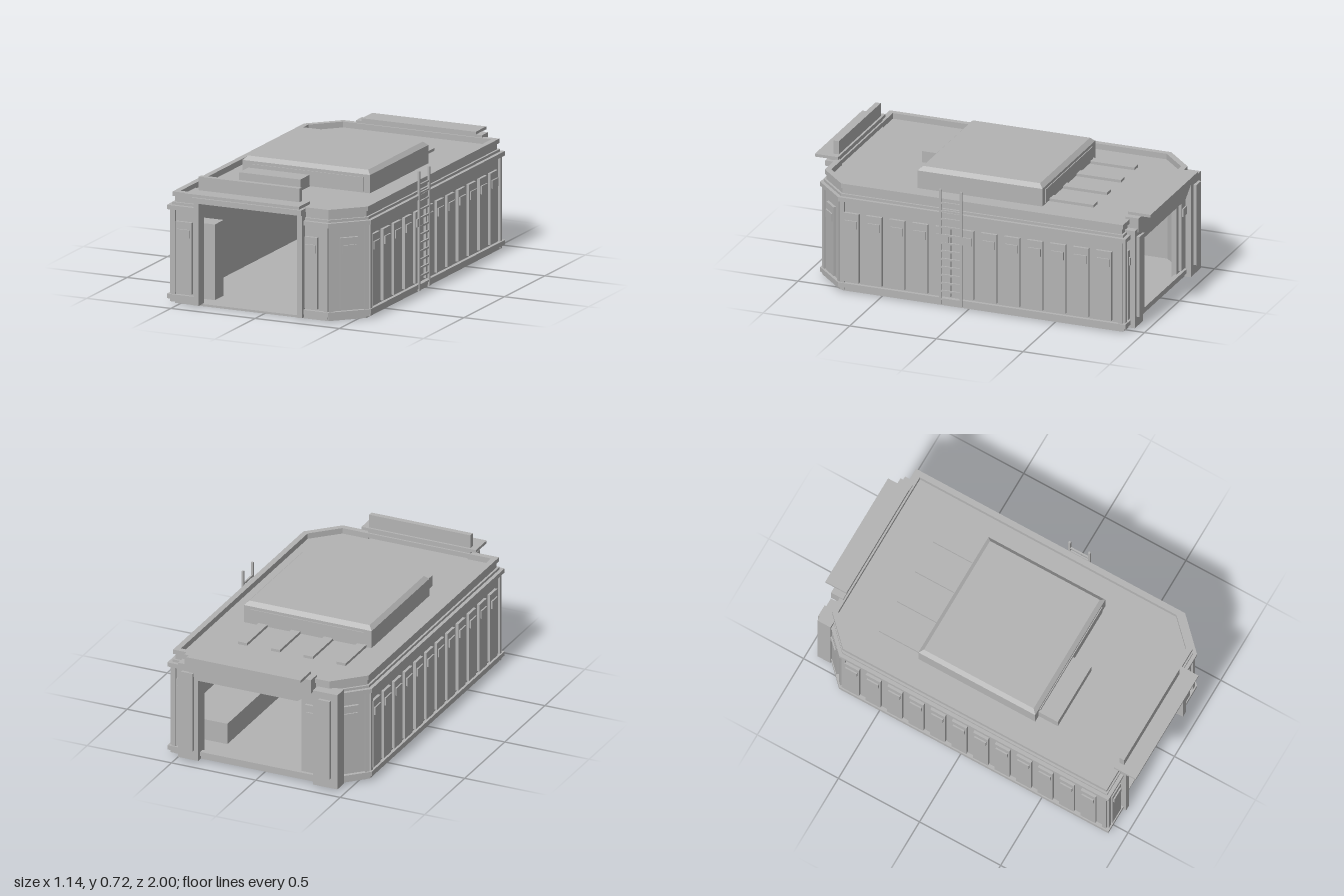
import * as THREE from 'three';

const grey = new THREE.MeshStandardMaterial({ color: 0xb3b3b3 });
grey.name = 'plain grey';

const X = 0.545, Z = 0.895, CUT = 0.16;   // footprint half sizes and corner cut
const DOOR = [-0.37, 0.215];              // front doorway in x

function add(parent, name, geometry) {
  const m = new THREE.Mesh(geometry, grey);
  m.name = name;
  parent.add(m);
  return m;
}

// Box given by its limits on each axis
function box(parent, name, x0, x1, y0, y1, z0, z1) {
  const m = add(parent, name, new THREE.BoxGeometry(x1 - x0, y1 - y0, z1 - z0));
  m.position.set((x0 + x1) / 2, (y0 + y1) / 2, (z0 + z1) / 2);
  return m;
}

// Footprint with two opposite cut corners, grown outward by d
function outline(d) {
  const x = X + d, z = Z + d, c = CUT + d * (2 - Math.SQRT2);
  return [[-x, z], [x - c, z], [x, z - c], [x, -z], [c - x, -z], [-x, c - z]];
}
const toShape = pts => new THREE.Shape(pts.map(([x, z]) => new THREE.Vector2(x, -z)));

function prism(parent, name, shape, y0, y1) {
  const g = new THREE.ExtrudeGeometry(shape, { depth: y1 - y0, bevelEnabled: false });
  g.rotateX(-Math.PI / 2);
  g.translate(0, y0, 0);
  return add(parent, name, g);
}

// Band around the footprint, optionally open at the front doorway
function band(parent, name, y0, y1, out, inn, open) {
  const a = outline(out), b = outline(inn);
  let shape;
  if (open) {
    const run = (p, d) => [[DOOR[1], Z + d], ...p.slice(1), p[0], [DOOR[0], Z + d]];
    shape = toShape([...run(a, out), ...run(b, inn).reverse()]);
  } else {
    shape = toShape(a);
    shape.holes.push(toShape(b));
  }
  return prism(parent, name, shape, y0, y1);
}

// Group whose local +z points out of a wall
function wallFrame(parent, x, z, turn) {
  const g = new THREE.Group();
  g.name = 'wallDetail';
  g.position.set(x, 0, z);
  g.rotation.y = turn;
  parent.add(g);
  return g;
}

function panel(frame, u, w) {
  box(frame, 'wallPanel', u - w / 2, u + w / 2, 0.065, 0.46, -0.005, 0.016);
  box(frame, 'panelPlate', u - w * 0.4, u + w * 0.4, 0.375, 0.42, 0.01, 0.024);
}

// Details shared by the front half and, turned round, the back half
function wallDetails(parent, isBack) {
  const half = new THREE.Group();
  half.name = isBack ? 'backAndRightWallDetails' : 'frontAndLeftWallDetails';
  half.rotation.y = isBack ? Math.PI : 0;
  parent.add(half);

  const front = wallFrame(half, 0, Z, 0);
  panel(front, -0.467, 0.095);
  panel(front, 0.287, 0.075);
  const cut = wallFrame(half, X - CUT / 2, Z - CUT / 2, Math.PI / 4);
  panel(cut, 0, 0.1);
  const side = wallFrame(half, X, 0, Math.PI / 2);
  for (let i = 0; i < 12; i++) panel(side, -0.67 + i * 0.1325, 0.09);

  // upright trims beside each corner
  const trim = (f, u) => box(f, 'cornerTrim', u - 0.012, u + 0.012, 0.015, 0.545, -0.005, 0.012);
  trim(front, -X + 0.012);
  trim(front, X - CUT - 0.012);
  trim(cut, -0.1);
  trim(cut, 0.1);
  trim(side, CUT - Z + 0.012);
  trim(side, Z - 0.012);
}

export function createModel() {
  const root = new THREE.Group();
  root.name = 'hangar';

  // Floor, walls and roof
  prism(root, 'floorSlab', toShape(outline(-0.012)), 0, 0.012);
  const shell = new THREE.Group();
  shell.name = 'walls';
  root.add(shell);
  const T = 0.03;
  box(shell, 'frontWall', -X, DOOR[0], 0.01, 0.56, Z - T, Z);
  box(shell, 'frontWall', DOOR[1], X - CUT, 0.01, 0.56, Z - T, Z);
  box(shell, 'backWall', CUT - X, -0.22, 0.01, 0.56, -Z, T - Z);
  box(shell, 'backWall', 0.37, X, 0.01, 0.56, -Z, T - Z);
  for (const s of [1, -1]) {
    const long = box(shell, 'sideWall', X - T, X, 0.01, 0.56, -Z, Z - CUT);
    long.position.x *= s;
    long.position.z *= s;
    const cut = wallFrame(shell, s * (X - CUT / 2), s * (Z - CUT / 2), s > 0 ? Math.PI / 4 : -Math.PI * 0.75);
    const w = CUT / Math.SQRT2;
    box(cut, 'cutCornerWall', -w, w, 0.01, 0.56, -T, 0);
  }
  prism(root, 'roofDeck', toShape(outline(-0.02)), 0.56, 0.585);

  // Bands and parapet
  band(root, 'baseSkirt', 0.012, 0.03, 0.008, -0.01, true);
  band(root, 'lowerBand', 0.03, 0.055, 0.02, -0.01, true);
  band(root, 'upperBand', 0.522, 0.546, 0.02, -0.01, true);
  band(root, 'parapet', 0.546, 0.592, -0.012, -0.035, true);
  band(root, 'parapetCap', 0.592, 0.617, -0.003, -0.035, false);
  box(root, 'backSill', -0.22, 0.37, 0.03, 0.055, -0.915, -0.885);

  wallDetails(root, false);
  wallDetails(root, true);

  // Front doorway: posts, lintel, canopy and blank sign board
  box(root, 'doorPost', -0.4, -0.37, 0.012, 0.58, 0.86, 0.93);
  box(root, 'doorPost', 0.215, 0.245, 0.012, 0.58, 0.86, 0.93);
  box(root, 'doorLintel', -0.405, 0.247, 0.58, 0.61, 0.87, 0.945);
  box(root, 'lintelTop', -0.385, 0.225, 0.61, 0.63, 0.87, 0.93);
  box(root, 'frontCanopy', -0.418, 0.26, 0.629, 0.645, 0.865, 1);
  box(root, 'signBoard', -0.38, 0.22, 0.645, 0.72, 0.877, 0.907);

  // Back doorway: pillars, hood with cut corners, canopy
  for (const [a, b] of [[-0.455, -0.31], [0.37, 0.49]]) {
    box(root, 'backPillar', a, b, 0.012, 0.57, -0.94, -0.86);
    const m = (a + b) / 2;
    box(root, 'pillarPanel', m - 0.035, m + 0.035, 0.07, 0.53, -0.957, -0.93);
  }
  const hood = new THREE.Shape([[-0.3, 0.63], [-0.3, 0.55], [-0.22, 0.49], [0.37, 0.49], [0.45, 0.55], [0.45, 0.63]]
    .map(p => new THREE.Vector2(...p)));
  add(root, 'backHood', new THREE.ExtrudeGeometry(hood, { depth: 0.075, bevelEnabled: false })).position.z = -0.945;
  box(root, 'backCanopy', -0.265, 0.412, 0.629, 0.645, -1, -0.87);

  // Bevelled roof housing with inset end plates
  const bevel = 0.022;
  const housing = new THREE.Shape([[-0.36, 0.338], [0.353, 0.338], [0.353, -0.338], [-0.36, -0.338]]
    .map(p => new THREE.Vector2(...p)));
  const hg = new THREE.ExtrudeGeometry(housing,
    { depth: 0.13, bevelSize: bevel, bevelThickness: bevel, bevelSegments: 1 });
  hg.rotateX(-Math.PI / 2);
  add(root, 'roofHousing', hg).position.y = 0.556;
  for (const s of [1, -1]) {
    const z = s * 0.361;
    box(root, 'housingEndPlate', -0.335, 0.335, 0.59, 0.67, z - 0.004, z + 0.004);
  }
  box(root, 'roofVent', -0.345, 0.018, 0.58, 0.649, 0.35, 0.478);
  for (const x of [-0.325, -0.13, 0.065, 0.26]) {
    box(root, 'roofStrip', x - 0.027, x + 0.027, 0.58, 0.6, -0.62, -0.35);
  }

  // Ladder on the left wall
  const ladder = new THREE.Group();
  ladder.name = 'ladder';
  root.add(ladder);
  for (const z of [0.031, 0.152]) box(ladder, 'ladderRail', 0.561, 0.573, 0.02, 0.68, z - 0.006, z + 0.006);
  for (let i = 0; i < 13; i++) {
    const y = 0.05 + i * 0.046;
    box(ladder, 'ladderRung', 0.562, 0.571, y - 0.005, y + 0.005, 0.031, 0.152);
  }

  // Interior fittings
  box(root, 'cabinet', -0.52, -0.345, 0.012, 0.43, 0.67, 0.78);
  box(root, 'bench', 0.24, 0.515, 0.1, 0.22, -0.85, 0.6);

  return root;
}
